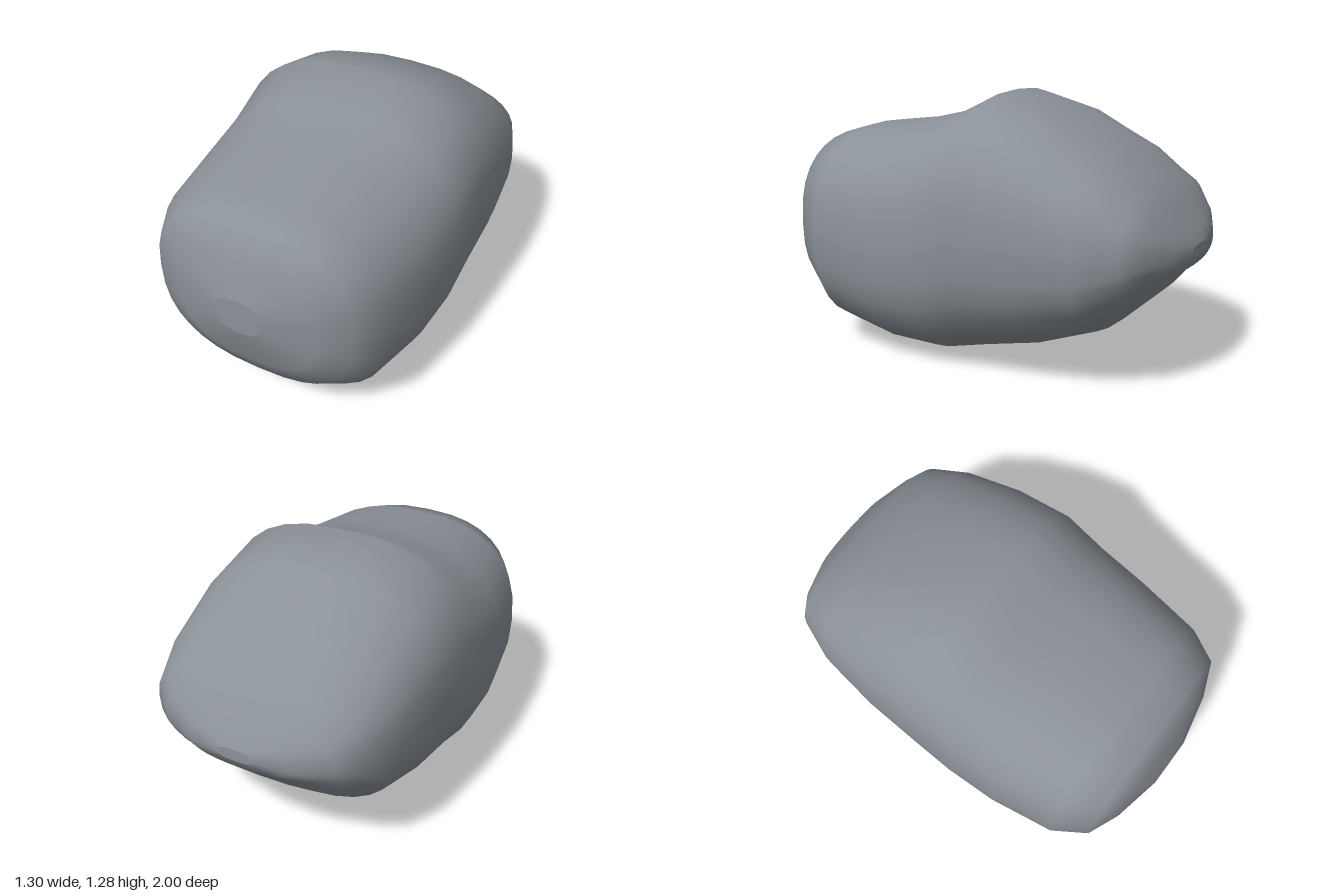
import * as THREE from 'three';

const SIDES = 32;
const POWER = 0.79; // rounded-square cross-section

// Stations from front to back: [z, half width, top y, bottom y]
const STATIONS = [
  [1.0, 0.115, 0.70, 0.52],
  [0.95, 0.345, 0.89, 0.32],
  [0.885, 0.495, 1.035, 0.20],
  [0.73, 0.585, 1.08, 0.07],
  [0.41, 0.635, 1.12, 0.01],
  [0.15, 0.648, 1.18, 0.005],
  [-0.065, 0.648, 1.283, 0.055],
  [-0.35, 0.635, 1.205, 0.12],
  [-0.64, 0.595, 1.055, 0.23],
  [-0.83, 0.52, 0.91, 0.40],
  [-0.905, 0.425, 0.80, 0.50],
  [-0.97, 0.26, 0.715, 0.54],
  [-1.0, 0.09, 0.65, 0.595],
];

const bend = (v) => Math.sign(v) * Math.pow(Math.abs(v), POWER);

// One rounded-square ring, counter-clockwise seen from the front
function ring([z, halfWidth, top, bottom]) {
  const points = [];
  for (let i = 0; i < SIDES; i++) {
    const a = (i / SIDES) * Math.PI * 2;
    points.push(new THREE.Vector3(
      bend(Math.cos(a)) * halfWidth,
      (top + bottom) / 2 + bend(Math.sin(a)) * (top - bottom) / 2,
      z,
    ));
  }
  return points;
}

// Smooth skin through all stations
function hullGeometry() {
  const points = STATIONS.flatMap(ring);
  const index = [];
  for (let s = 0; s < STATIONS.length - 1; s++) {
    for (let i = 0; i < SIDES; i++) {
      const j = (i + 1) % SIDES;
      const a = s * SIDES + i, b = s * SIDES + j;
      const c = a + SIDES, d = b + SIDES;
      index.push(a, c, b, b, c, d);
    }
  }
  const geometry = new THREE.BufferGeometry().setFromPoints(points);
  geometry.setIndex(index);
  geometry.computeVertexNormals();
  return geometry;
}

// Flat end closing the skin
function capGeometry(station, facesFront) {
  const geometry = new THREE.BufferGeometry().setFromPoints(ring(station));
  const index = [];
  for (let i = 1; i < SIDES - 1; i++) {
    index.push(0, ...(facesFront ? [i, i + 1] : [i + 1, i]));
  }
  geometry.setIndex(index);
  geometry.computeVertexNormals();
  return geometry;
}

export function createModel() {
  const group = new THREE.Group();
  group.name = 'roundedHull';
  const grey = new THREE.MeshStandardMaterial({ color: 0x8b9198 });
  grey.name = 'slate grey';

  const add = (name, geometry) => {
    const mesh = new THREE.Mesh(geometry, grey);
    mesh.name = name;
    group.add(mesh);
  };
  add('hull', hullGeometry());
  add('frontCap', capGeometry(STATIONS[0], true));
  add('backCap', capGeometry(STATIONS[STATIONS.length - 1], false));
  return group;
}
